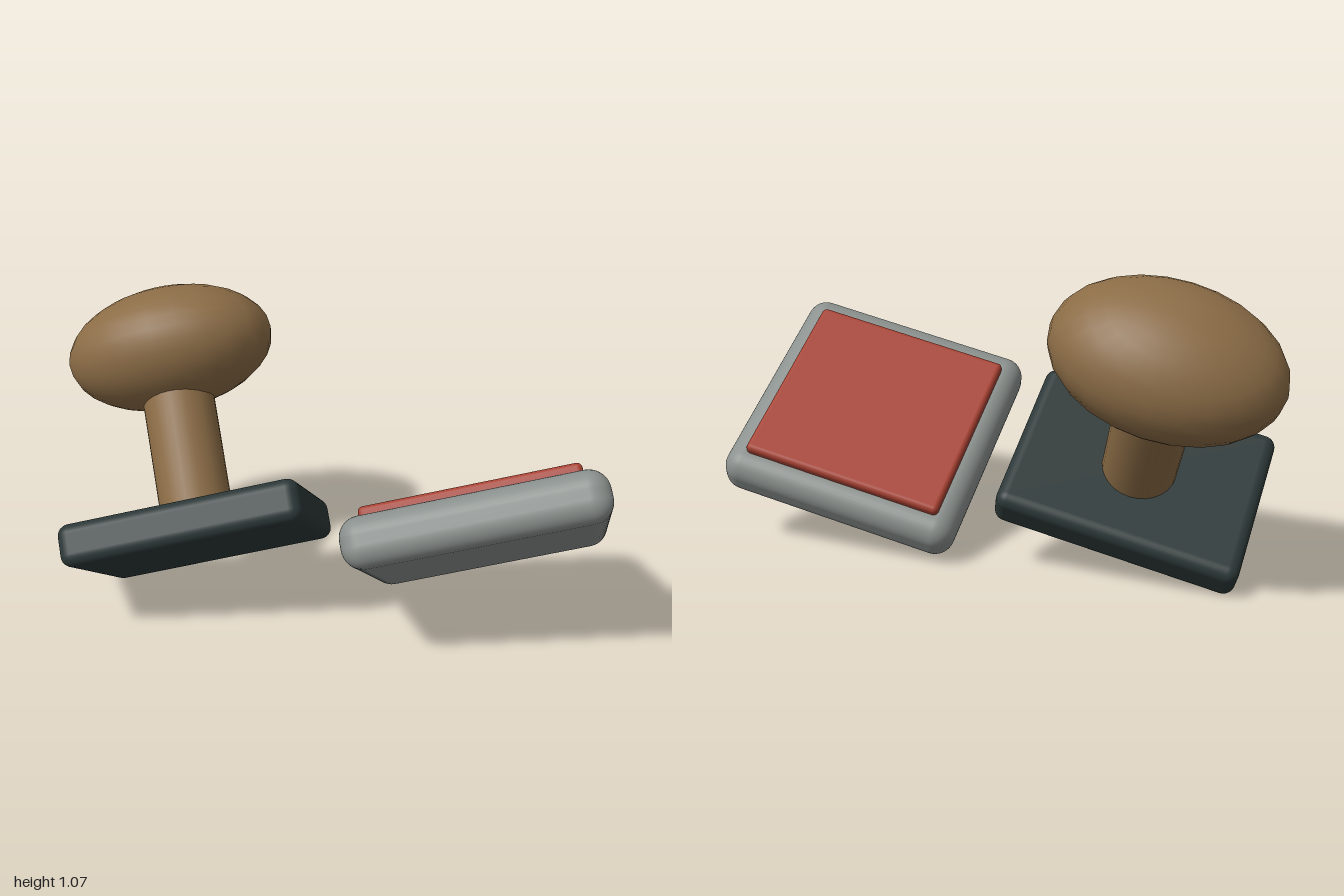
import * as THREE from 'three';
import { RoundedBoxGeometry } from 'three/addons/geometries/RoundedBoxGeometry.js';

function material(name, color) {
  const m = new THREE.MeshStandardMaterial({ color });
  m.name = name;
  return m;
}

export function createModel() {
  const wood = material('wood', 0x8b6c46);
  const darkRubber = material('dark rubber', 0x2c3737);
  const greyCase = material('grey case', 0x8a908d);
  const redInk = material('red ink', 0xa64132);

  // Shared tilt: local x and z run along the plate edges, local y is the plate normal
  const xAxis = new THREE.Vector3(0.805, 0.246, -0.54).normalize();
  const yAxis = new THREE.Vector3(0.338, 0.558, 0.758).cross(xAxis).normalize();
  const zAxis = new THREE.Vector3().crossVectors(xAxis, yAxis);
  const tilt = new THREE.Matrix4().makeBasis(xAxis, yAxis, zAxis);

  function tiltedGroup(name, x, y, z) {
    const g = new THREE.Group();
    g.name = name;
    g.quaternion.setFromRotationMatrix(tilt);
    g.position.set(x, y, z);
    return g;
  }

  function add(group, name, geometry, mat, y = 0) {
    const mesh = new THREE.Mesh(geometry, mat);
    mesh.name = name;
    mesh.position.y = y;
    group.add(mesh);
    return mesh;
  }

  // Hand stamp: base plate, round stem and oval knob
  const stamp = tiltedGroup('handStamp', -0.342, 0.308, 0.258);
  add(stamp, 'stampBase', new RoundedBoxGeometry(0.83, 0.145, 0.593, 4, 0.04), darkRubber);
  add(stamp, 'stampStem', new THREE.CylinderGeometry(0.126, 0.126, 0.55, 28), wood, 0.335);
  const knob = add(stamp, 'stampKnob', new THREE.SphereGeometry(1, 24, 16), wood, 0.67);
  knob.scale.set(0.37, 0.215, 0.26);

  // Ink pad: rounded case with a raised ink cushion
  const pad = tiltedGroup('inkPad', 0.52, 0.393, -0.183);
  add(pad, 'padCase', new RoundedBoxGeometry(0.85, 0.17, 0.832, 5, 0.07), greyCase);
  add(pad, 'inkCushion', new RoundedBoxGeometry(0.71, 0.06, 0.67, 3, 0.018), redInk, 0.086);

  const model = new THREE.Group();
  model.name = 'stampAndInkPad';
  model.add(stamp, pad);
  return model;
}
